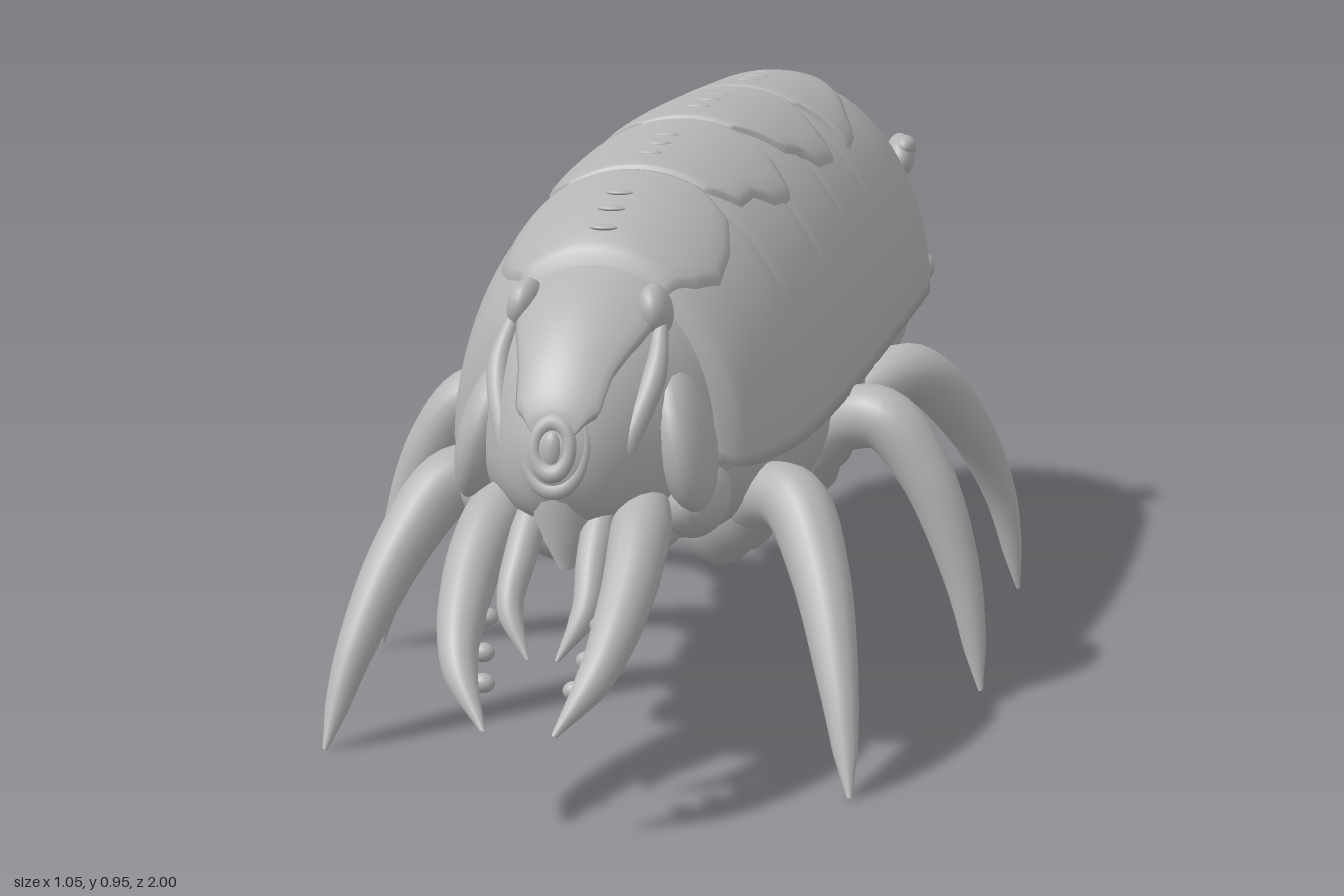
import * as THREE from 'three';

const grey = new THREE.MeshStandardMaterial({ color: 0xb4b4b4, side: THREE.DoubleSide });
grey.name = 'chitin grey';

// Profiles along the body: [z, half width, top y, base y, depth below base]
const SHELL = [
  [0.635, 0.165, 0.695, 0.50], [0.625, 0.2, 0.73, 0.475], [0.6, 0.228, 0.778, 0.465], [0.5, 0.262, 0.836, 0.465],
  [0.4, 0.282, 0.867, 0.472], [0.2, 0.297, 0.902, 0.49], [0, 0.302, 0.927, 0.505], [-0.2, 0.302, 0.935, 0.518],
  [-0.4, 0.297, 0.938, 0.525], [-0.52, 0.291, 0.937, 0.525], [-0.65, 0.278, 0.916, 0.52], [-0.8, 0.246, 0.85, 0.52],
  [-0.9, 0.197, 0.765, 0.535], [-0.95, 0.154, 0.71, 0.55], [-0.985, 0.092, 0.645, 0.56], [-1, 0.01, 0.585, 0.57]];
const BELLY = [
  [0.66, 0.1, 0.55, 0.47, 0.1], [0.6, 0.18, 0.6, 0.47, 0.13], [0.4, 0.245, 0.6, 0.48, 0.19], [0.2, 0.27, 0.6, 0.49, 0.22],
  [0, 0.275, 0.6, 0.51, 0.245], [-0.2, 0.277, 0.6, 0.52, 0.24], [-0.5, 0.265, 0.6, 0.53, 0.215],
  [-0.8, 0.225, 0.6, 0.53, 0.165], [-0.9, 0.18, 0.6, 0.53, 0.125], [-0.96, 0.125, 0.58, 0.53, 0.085],
  [-0.985, 0.07, 0.56, 0.53, 0.045], [-0.995, 0.002, 0.535, 0.53, 0.002]];
const HEAD = [
  [0.5, 0.22, 0.80, 0.5, 0.13], [0.62, 0.19, 0.745, 0.5, 0.125], [0.7, 0.152, 0.70, 0.5, 0.115],
  [0.76, 0.112, 0.65, 0.5, 0.1], [0.805, 0.075, 0.595, 0.5, 0.08], [0.83, 0.035, 0.545, 0.5, 0.04], [0.838, 0.003, 0.51, 0.5, 0.005]];

// Smooth interpolation of a profile at z
function sample(profile, z) {
  const n = profile.length, dir = Math.sign(profile[1][0] - profile[0][0]);
  let i = 0;
  while (i < n - 2 && (z - profile[i + 1][0]) * dir > 0) i++;
  const a = profile[i], b = profile[i + 1], p = profile[Math.max(i - 1, 0)], q = profile[Math.min(i + 2, n - 1)];
  const d = b[0] - a[0], t = (z - a[0]) / d;
  return a.map((v, k) => {
    if (k === 0) return z;
    const m0 = (b[k] - p[k]) / (b[0] - p[0]) * d, m1 = (q[k] - a[k]) / (q[0] - a[0]) * d;
    return (2 * t ** 3 - 3 * t * t + 1) * v + (t ** 3 - 2 * t * t + t) * m0 + (3 * t * t - 2 * t ** 3) * b[k] + (t ** 3 - t * t) * m1;
  });
}

// Surface from a rule that gives the point for row i, column j
function grid(rows, cols, point) {
  const pos = [], index = [];
  for (let i = 0; i <= rows; i++) for (let j = 0; j <= cols; j++) pos.push(...point(i, j));
  for (let i = 0; i < rows; i++) for (let j = 0; j < cols; j++) {
    const a = i * (cols + 1) + j, b = a + cols + 1;
    index.push(a, a + 1, b, b, a + 1, b + 1);
  }
  const g = new THREE.BufferGeometry();
  g.setAttribute('position', new THREE.Float32BufferAttribute(pos, 3));
  g.setIndex(index);
  g.computeVertexNormals();
  return g;
}

// Row positions, several to each profile interval
function rowsOf(profile, step) {
  const out = [];
  for (let i = 0; i < profile.length - 1; i++) {
    const a = profile[i][0], b = profile[i + 1][0], n = Math.max(3, Math.ceil(Math.abs(b - a) / step));
    for (let k = 0; k < n; k++) out.push(a + (b - a) * k / n);
  }
  out.push(profile[profile.length - 1][0]);
  return out;
}

// Arched shell with a turned-in rim and faint seams on the flanks
function shellGeometry() {
  const zs = rowsOf(SHELL, 0.01), cols = 58;
  return grid(zs.length - 1, cols, (i, j) => {
    const [z, w, top, base] = sample(SHELL, zs[i]);
    if (j === 0 || j === cols) return [(j ? -1 : 1) * w * 0.88, base + 0.005, z];
    const a = Math.PI * (j - 1) / (cols - 2);
    let k = 1;
    for (const seam of [0.4, 0.2, 0, -0.2]) k -= 0.008 * Math.exp(-(((z - seam) / 0.008) ** 2));
    return [w * k * Math.cos(a), base + (top - base) * k * Math.sin(a), z];
  });
}

// Closed loft; ribs gives the ring depth underneath
function loftGeometry(profile, ribs, step) {
  const zs = rowsOf(profile, step), cols = 56;
  return grid(zs.length - 1, cols, (i, j) => {
    const [z, w, top, base, depth] = sample(profile, zs[i]);
    const a = Math.PI / 2 + 2 * Math.PI * j / cols, c = Math.cos(a), s = Math.sin(a);
    const k = 1 - ribs * Math.abs(Math.cos(z * Math.PI / 0.085)) ** 6;
    const up = s > 0;
    const x = Math.sign(c) * Math.abs(c) ** (up ? 1 : 0.8);
    return [w * k * x, base + (up ? (top - base) * s : -depth * k * Math.abs(s) ** 0.9), z];
  });
}

// Raised plate on a profile's upper surface; outline is [z, half width]
function plateGeometry(profile, outline, lift) {
  const rows = 48, cols = 36, z0 = outline[0][0], z1 = outline[outline.length - 1][0];
  return grid(rows, cols, (i, j) => {
    const z = z0 + (z1 - z0) * i / rows, v = 2 * j / cols - 1;
    let n = 0;
    while (n < outline.length - 2 && z > outline[n + 1][0]) n++;
    const [a, b] = [outline[n], outline[n + 1]];
    const half = a[1] + (b[1] - a[1]) * (z - a[0]) / (b[0] - a[0]);
    const [, w, top, base] = sample(profile, z), h = top - base;
    const x = v * Math.min(half, w * 0.97), y = h * Math.sqrt(1 - (x / w) ** 2);
    const normal = new THREE.Vector2(x / (w * w), y / (h * h)).normalize();
    const edge = Math.min(i, rows - i, j, cols - j);
    const up = edge === 0 ? -0.006 : lift * Math.min(1, 0.6 + edge * 0.13);
    return [x + normal.x * up, base + y + normal.y * up, z];
  });
}

// Tube along a curve with changing radius
function taperGeometry(points, radii, rings = 0) {
  const curve = new THREE.CatmullRomCurve3(points.map(p => new THREE.Vector3(...p)));
  const len = 48, sides = 16, g = new THREE.TubeGeometry(curve, len, 1, sides);
  const p = g.attributes.position, v = new THREE.Vector3();
  for (let i = 0; i <= len; i++) {
    const u = i / len, c = curve.getPointAt(u), f = u * (radii.length - 1), k = Math.min(Math.floor(f), radii.length - 2);
    const r = (radii[k] + (radii[k + 1] - radii[k]) * (f - k)) * (1 - rings * Math.abs(Math.cos(u * Math.PI * 4)) ** 4);
    for (let j = 0; j <= sides; j++) {
      const n = i * (sides + 1) + j;
      v.fromBufferAttribute(p, n).sub(c).multiplyScalar(r).add(c);
      p.setXYZ(n, v.x, v.y, v.z);
    }
  }
  g.computeBoundingSphere();
  return g;
}

export function createModel() {
  const model = new THREE.Group();
  model.name = 'armouredLarva';
  const add = (name, geometry) => {
    const mesh = new THREE.Mesh(geometry, grey);
    mesh.name = name;
    model.add(mesh);
    return mesh;
  };
  const ball = (name, at, size, rot = [0, 0, 0]) => {
    const mesh = add(name, new THREE.SphereGeometry(1, 20, 14));
    mesh.position.set(...at);
    mesh.scale.set(...size);
    mesh.rotation.set(...rot);
  };

  // Body
  add('shell', shellGeometry());
  add('ribbedBelly', loftGeometry(BELLY, 0.025, 0.01));
  add('head', loftGeometry(HEAD, 0, 0.02));

  // Overlapping back plates with stepped outlines
  const plates = [
    [[-0.6, 0.015], [-0.585, 0.06], [-0.55, 0.1], [-0.48, 0.14], [-0.4, 0.17], [-0.34, 0.195], [-0.26, 0.205], [-0.245, 0.12], [-0.235, 0.1]],
    [[-0.23, 0.09], [-0.19, 0.13], [-0.15, 0.175], [-0.12, 0.205], [-0.03, 0.2], [0.0, 0.175], [0.05, 0.16], [0.1, 0.07]],
    [[0.105, 0.06], [0.14, 0.16], [0.18, 0.2], [0.25, 0.19], [0.29, 0.165], [0.35, 0.16], [0.39, 0.11]],
    [[0.395, 0.1], [0.43, 0.16], [0.48, 0.175], [0.54, 0.175], [0.58, 0.15], [0.625, 0.1]]];
  plates.forEach((outline, n) => {
    add('backPlate' + (n + 1), plateGeometry(SHELL, outline, 0.01));
    const z0 = outline[0][0], z1 = outline[outline.length - 1][0];
    for (const t of [0.4, 0.58, 0.76]) {
      const z = z0 + (z1 - z0) * t;
      ball('backBump', [0, sample(SHELL, z)[2] + 0.008, z], [0.022, 0.005, 0.012]);
    }
  });

  // Face shield with oval rings, snout and mouth
  add('faceShield', plateGeometry(HEAD, [[0.6, 0.1], [0.65, 0.11], [0.7, 0.095], [0.76, 0.07], [0.8, 0.06], [0.825, 0.03]], 0.012));
  [[0.045, 0.812], [0.026, 0.826]].forEach(([r, z]) => {
    const ring = add('faceRing', new THREE.TorusGeometry(r, 0.01, 10, 32));
    ring.position.set(0, 0.53, z);
    ring.scale.y = 1.4;
    ring.rotation.x = -0.25;
  });
  ball('faceBoss', [0, 0.525, 0.826], [0.016, 0.03, 0.014]);
  add('snout', taperGeometry([[0, 0.58, 0.74], [0, 0.48, 0.775], [0, 0.4, 0.775], [0, 0.34, 0.765]], [0.03, 0.06, 0.045, 0.012]));
  ball('mouth', [0, 0.315, 0.62], [0.026, 0.045, 0.05]);
  ball('throat', [0, 0.38, 0.62], [0.14, 0.07, 0.12]);

  // Leg paths: front, middle and back
  const legs = {
    frontLeg: [[0.16, 0.35, 0.42], [0.22, 0.385, 0.45], [0.275, 0.385, 0.49], [0.33, 0.3, 0.56], [0.38, 0.15, 0.65], [0.41, 0.005, 0.71]],
    middleLeg: [[0.2, 0.37, 0.13], [0.28, 0.44, 0.15], [0.35, 0.45, 0.17], [0.42, 0.37, 0.18], [0.485, 0.2, 0.185], [0.52, 0.012, 0.19]],
    backLeg: [[0.18, 0.36, -0.08], [0.26, 0.43, -0.13], [0.33, 0.455, -0.19], [0.405, 0.36, -0.28], [0.463, 0.2, -0.37], [0.495, 0.015, -0.41]]
  };

  // Everything paired
  for (const s of [1, -1]) {
    const side = s > 0 ? 'left' : 'right';
    const m = pts => pts.map(([x, y, z]) => [s * x, y, z]);
    for (const [name, path] of Object.entries(legs)) {
      add(side + name, taperGeometry(m(path), [0.045, 0.05, 0.053, 0.05, 0.045, 0.04, 0.034, 0.027, 0.019, 0.004]));
      const [x, y, z] = path[0];
      add(side + name + 'Hip', taperGeometry(m([[x - 0.09, y - 0.04, z - 0.04], [x, y - 0.01, z - 0.01], [x + 0.07, y + 0.045, z + 0.025]]),
        [0.03, 0.075, 0.07, 0.053, 0.01], 0.12));
    }

    // Jaws, inner feelers and teeth
    add(side + 'Jaw', taperGeometry(m([[0.1, 0.43, 0.68], [0.113, 0.4, 0.77], [0.118, 0.33, 0.86], [0.1, 0.24, 0.95], [0.052, 0.163, 0.994]]),
      [0.03, 0.045, 0.041, 0.035, 0.025, 0.004]));
    add(side + 'Feeler', taperGeometry(m([[0.05, 0.44, 0.74], [0.054, 0.37, 0.81], [0.055, 0.3, 0.86], [0.022, 0.235, 0.885]]),
      [0.02, 0.025, 0.023, 0.018, 0.003]));
    [[0.086, 0.29, 0.875], [0.078, 0.25, 0.915], [0.068, 0.215, 0.945]].forEach(p => ball(side + 'JawTooth', m([p])[0], [0.018, 0.014, 0.014]));

    // Cheek and brow plates
    ball(side + 'CheekPlate', [s * 0.145, 0.52, 0.65], [0.045, 0.12, 0.085], [-0.35, 0, s * 0.25]);
    ball(side + 'LowerCheek', [s * 0.155, 0.42, 0.62], [0.05, 0.06, 0.09]);
    ball(side + 'Brow', [s * 0.1, 0.7, 0.64], [0.025, 0.04, 0.04], [-0.4, 0, s * 0.2]);
    add(side + 'FaceRidge', taperGeometry(m([[0.11, 0.7, 0.64], [0.118, 0.62, 0.71], [0.09, 0.52, 0.765], [0.055, 0.42, 0.78]]), [0.008, 0.018, 0.016, 0.006]));

    // Knobs at the rear
    ball(side + 'RearHorn', [s * 0.2, 0.768, -0.745], [0.028, 0.038, 0.055], [0.35, s * 0.2, 0]);
    ball(side + 'RearHornTip', [s * 0.212, 0.785, -0.735], [0.02, 0.022, 0.032]);
    ball(side + 'RimKnob', [s * 0.234, 0.54, -0.81], [0.026, 0.028, 0.034]);
    ball(side + 'RimKnob', [s * 0.186, 0.525, -0.885], [0.026, 0.03, 0.034]);
    ball(side + 'BellyKnob', [s * 0.2, 0.375, -0.39], [0.055, 0.05, 0.055]);
  }
  return model;
}
